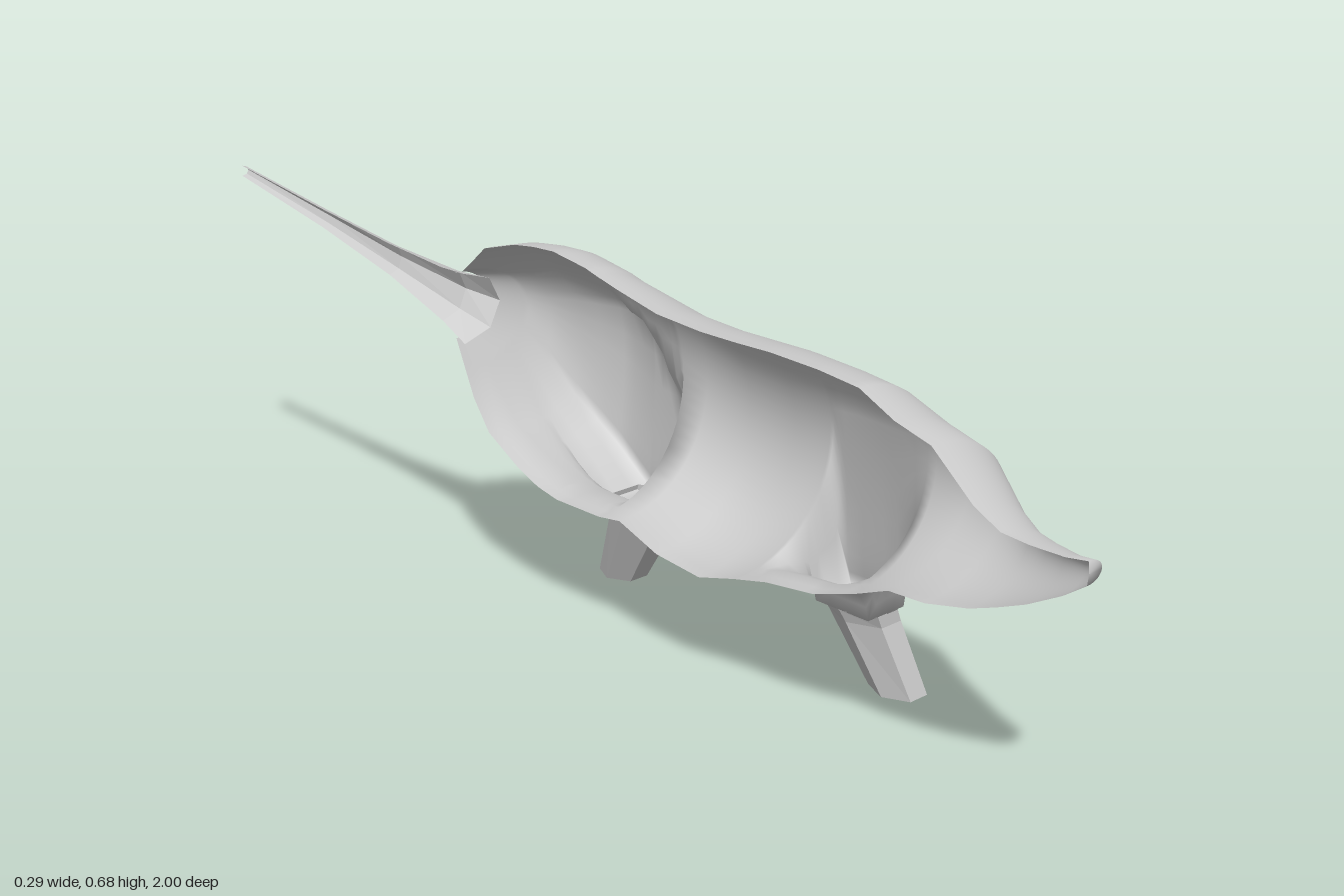
import * as THREE from 'three';

const { lerp, clamp } = THREE.MathUtils;
const smooth = new THREE.MeshStandardMaterial({ color: 0xcccccc, side: THREE.DoubleSide });
const faceted = new THREE.MeshStandardMaterial({ color: 0xcccccc, side: THREE.DoubleSide, flatShading: true });

// Skin a list of equal-length rings; closed rings also get a cap on the last one
function skin(name, rings, material, closed = false) {
  const n = rings[0].length, index = [];
  for (let i = 0; i < rings.length - 1; i++) {
    for (let j = 0; j < (closed ? n : n - 1); j++) {
      const k = (j + 1) % n, a = i * n + j, b = i * n + k;
      index.push(a, b, a + n, b, b + n, a + n);
    }
  }
  if (closed) {
    const s = (rings.length - 1) * n;
    for (let j = 1; j < n - 1; j++) index.push(s, s + j, s + j + 1);
  }
  const geometry = new THREE.BufferGeometry();
  geometry.setAttribute('position', new THREE.Float32BufferAttribute(rings.flat(2), 3));
  geometry.setIndex(index);
  geometry.computeVertexNormals();
  const mesh = new THREE.Mesh(geometry, material);
  mesh.name = name;
  return mesh;
}

// Half-oval in the xy plane, from the top of the open edge round to its bottom
function halfRing([z, top, bottom, edge, outer], segments) {
  return Array.from({ length: segments + 1 }, (_, j) => {
    const t = (j / segments) * Math.PI;
    return [
      edge + (outer - edge) * Math.pow(Math.max(Math.sin(t), 0), 0.95),
      (top + bottom) / 2 + ((top - bottom) / 2) * Math.cos(t),
      z,
    ];
  });
}

// Six-sided leg section: height, back z, front z, inner x, outer x
function legRing([y, z0, z1, x0, x1]) {
  return Array.from({ length: 6 }, (_, j) => {
    const t = (j / 6) * Math.PI * 2;
    return [
      (x0 + x1) / 2 + ((x1 - x0) / 2) * Math.cos(t),
      y,
      (z0 + z1) / 2 + ((z1 - z0) / Math.sqrt(3)) * Math.sin(t),
    ];
  });
}

// Weight rising from a to b, level to c, falling to d
const plateau = (v, [a, b, c, d]) => clamp(Math.min((v - a) / (b - a), (d - v) / (d - c)), 0, 1);

// Where the body is drawn out and down into the top of each leg
const haunches = [
  { zone: [0.338, 0.366, 0.48, 0.56], y: 0.15, inner: 0.02, outer: 0.106 },
  { zone: [-0.34, -0.12, -0.015, 0.008], y: 0.185, inner: -0.01, outer: 0.107 },
];
const around = [13 / 30, 20 / 30, 23 / 30, 28 / 30];

function shapeLegs(ring) {
  return ring.map(([x, y, z], j) => {
    const u = j / (ring.length - 1);
    // Thigh muscle, its front edge sloping back towards the top
    const slope = 0.16 * clamp((0.5 - u) / 0.12, 0, 1);
    x += 0.047 * plateau(z, [-0.34, -0.19, -0.03 - slope, 0.005 - slope]) * plateau(u, [0.25, 0.47, 0.7, 0.9]);
    const across = clamp((u - around[1]) / (around[2] - around[1]), 0, 1);
    for (const h of haunches) {
      const w = plateau(z, h.zone) * plateau(u, around);
      x = lerp(x, lerp(h.outer, h.inner, across), w);
      y = lerp(y, h.y, w);
    }
    return [x, y, z];
  });
}

// Section of a station list at any z
function sectionAt(stations, z) {
  const i = Math.max(1, stations.findIndex(s => s[0] <= z));
  const a = stations[i - 1], b = stations[i];
  return a.map((v, k) => lerp(v, b[k], (z - a[0]) / (b[0] - a[0])));
}

export function createModel() {
  const group = new THREE.Group();
  group.name = 'halfAnimal';

  // Hollow half body with head: z, top, bottom, open edge x, outer x
  const body = [
    [1.0, 0.437, 0.435, -0.125, -0.123],
    [0.998, 0.455, 0.418, -0.125, -0.093],
    [0.96, 0.45, 0.392, -0.127, -0.076],
    [0.9, 0.45, 0.36, -0.128, -0.045],
    [0.85, 0.455, 0.34, -0.13, -0.022],
    [0.8, 0.48, 0.322, -0.13, 0.003],
    [0.72, 0.55, 0.305, -0.132, 0.045],
    [0.65, 0.57, 0.303, -0.133, 0.05],
    [0.58, 0.603, 0.275, -0.133, 0.052],
    [0.5, 0.612, 0.25, -0.134, 0.062],
    [0.4, 0.616, 0.238, -0.134, 0.075],
    [0.33, 0.615, 0.222, -0.135, 0.083],
    [0.25, 0.615, 0.2, -0.135, 0.086],
    [0.15, 0.622, 0.21, -0.135, 0.08],
    [0.06, 0.642, 0.242, -0.135, 0.068],
    [0.008, 0.655, 0.235, -0.135, 0.062],
    [-0.02, 0.663, 0.235, -0.135, 0.064],
    [-0.1, 0.675, 0.235, -0.135, 0.072],
    [-0.15, 0.673, 0.245, -0.135, 0.075],
    [-0.2, 0.667, 0.265, -0.135, 0.073],
    [-0.28, 0.645, 0.31, -0.135, 0.056],
    [-0.32, 0.61, 0.365, -0.135, 0.04],
    [-0.345, 0.59, 0.42, -0.135, 0.005],
    [-0.365, 0.585, 0.465, -0.135, -0.06],
  ];
  // Extra sections wherever a leg zone starts, ends or bends
  const extra = [0.53, 0.45, 0.352, -0.002, -0.045, -0.06, -0.08, -0.125, -0.175, -0.24,
    ...haunches.flatMap(h => h.zone)];
  const depths = [...new Set([...body.map(s => s[0]), ...extra])].sort((a, b) => b - a);
  const rings = depths.map(z => shapeLegs(halfRing(sectionAt(body, z), 30)));
  group.add(skin('bodyAndHead', rings, smooth));

  // Half tail tapering backwards
  const tail = [
    [-0.34, 0.588, 0.46, -0.136, -0.055],
    [-0.4, 0.588, 0.49, -0.137, -0.083],
    [-0.55, 0.602, 0.543, -0.138, -0.11],
    [-0.75, 0.63, 0.595, -0.141, -0.121],
    [-1.0, 0.67, 0.65, -0.147, -0.133],
  ];
  group.add(skin('tail', tail.map(s => halfRing(s, 4)), faceted));

  // Six-sided lower legs, from the haunch down to the foot
  const frontShank = [
    [0.152, 0.36, 0.485, 0.015, 0.11],
    [0.13, 0.37, 0.485, 0.025, 0.118],
    [0, 0.43, 0.522, 0.063, 0.145],
  ];
  const hindShank = [
    [0.2, -0.125, -0.005, -0.012, 0.11],
    [0.165, -0.135, -0.015, -0.007, 0.105],
    [0.025, -0.195, -0.112, 0.027, 0.108],
  ];
  group.add(skin('frontLowerLeg', frontShank.map(legRing), faceted, true));
  group.add(skin('hindLowerLeg', hindShank.map(legRing), faceted, true));

  return group;
}
